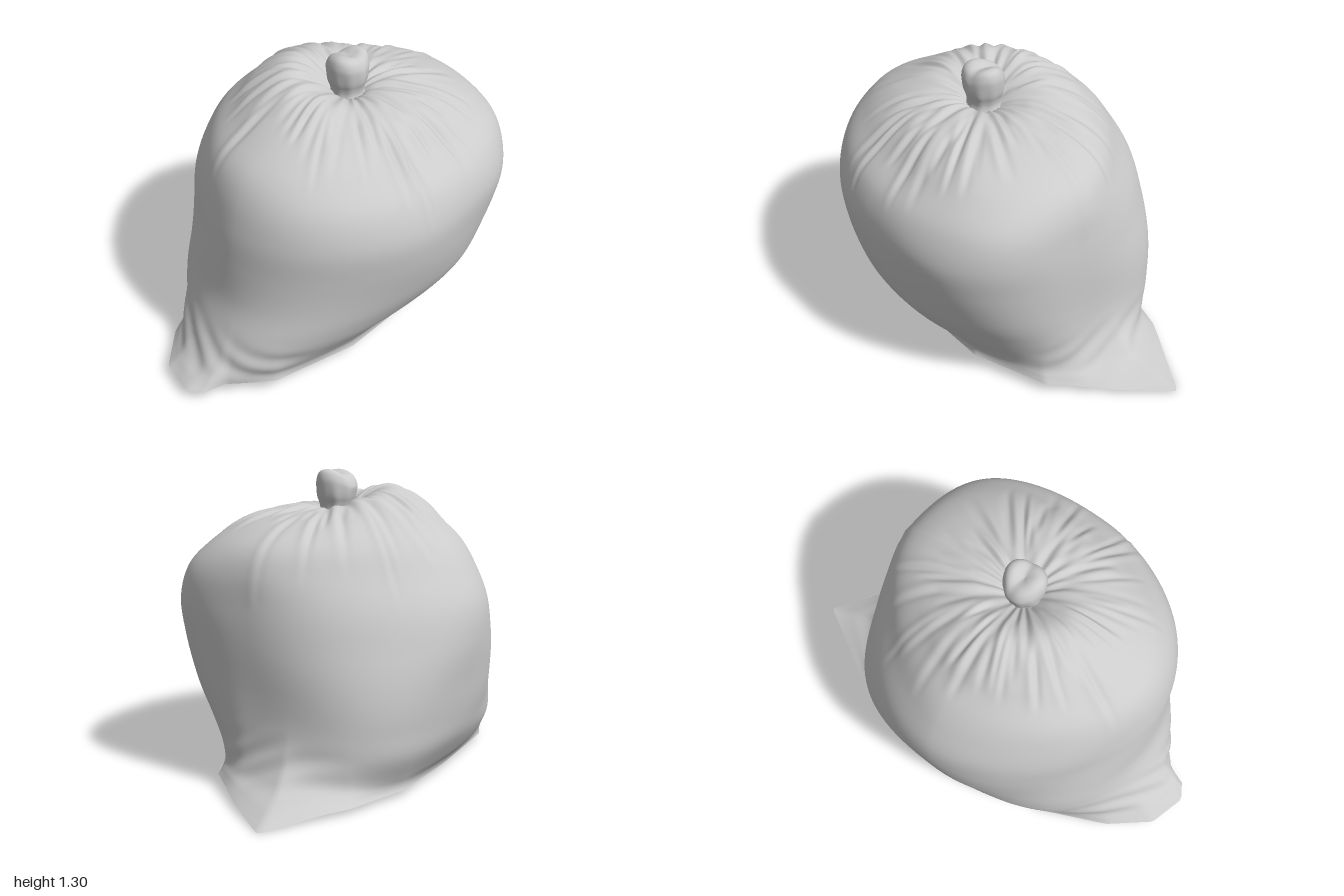
import * as THREE from 'three';

const SEG = 320, SUB = 7;
const CX = -0.01, CZ = 0.05; // axis of the tied neck
const { lerp, smoothstep } = THREE.MathUtils;

function seeded(seed) {
  return () => {
    seed = (seed * 16807) % 2147483647;
    return seed / 2147483647;
  };
}

// Flat seam outline on the ground, with a pulled-out corner at each end [x, z]
const SEAM = [
  [1.0, -0.24], [0.83, 0.0], [0.65, 0.22], [0.33, 0.37], [0, 0.39], [-0.35, 0.38], [-0.72, 0.26],
  [-0.88, 0.09], [-0.95, 0.08], [-1.0, 0.0], [-0.95, -0.17], [-0.78, -0.31], [-0.5, -0.44],
  [0, -0.5], [0.35, -0.51], [0.65, -0.43],
].map(([x, z]) => [x - CX, z - CZ]);

// Levels: y, right x, left x, front z, back z, seam weight,
// then squareness of the four quarters: +x+z, -x+z, -x-z, +x-z
const LEVELS = [
  [0.05, 0.66, -0.86, 0.39, -0.5, 1, 1.9, 2, 2.1, 2.7],
  [0.075, 0.66, -0.855, 0.405, -0.53, 0.7, 1.9, 2, 2.1, 2.8],
  [0.115, 0.66, -0.845, 0.44, -0.56, 0.33, 1.9, 2, 2.1, 3],
  [0.2, 0.66, -0.815, 0.505, -0.6, 0.1, 2, 2, 2.1, 3.2],
  [0.3, 0.66, -0.785, 0.555, -0.618, 0.02, 2.15, 2, 2.05, 3.1],
  [0.42, 0.66, -0.752, 0.6, -0.637, 0, 2.35, 2, 1.95, 2.8],
  [0.6, 0.66, -0.728, 0.643, -0.658, 0, 2.6, 2, 1.8, 2.2],
  [0.76, 0.655, -0.712, 0.657, -0.643, 0, 2.8, 2, 1.75, 1.85],
  [0.9, 0.64, -0.68, 0.61, -0.575, 0, 2.7, 2, 1.75, 1.6],
  [1.0, 0.59, -0.62, 0.508, -0.5, 0, 2.5, 2, 1.8, 1.6],
  [1.07, 0.49, -0.52, 0.43, -0.415, 0, 2.2, 2, 1.8, 1.7],
  [1.115, 0.36, -0.4, 0.35, -0.34, 0, 2, 2, 1.9, 1.8],
  [1.14, 0.21, -0.25, 0.23, -0.2, 0, 2, 2, 2, 2],
  [1.13, 0.12, -0.14, 0.15, -0.08, 0, 2, 2, 2, 2],
  [1.1, 0.05, -0.07, 0.11, -0.01, 0, 2, 2, 2, 2],
];

function levelAt(t) {
  const i = Math.min(Math.floor(t), LEVELS.length - 2), f = t - i;
  const at = (k) => LEVELS[Math.max(0, Math.min(LEVELS.length - 1, k))];
  return LEVELS[0].map((_, c) => {
    const [a, b, d, e] = [at(i - 1)[c], at(i)[c], at(i + 1)[c], at(i + 2)[c]];
    return b + 0.5 * f * (d - a + f * (2 * a - 5 * b + 4 * d - e + f * (3 * (b - d) + e - a)));
  });
}

function seamRadius(th) {
  const dx = Math.cos(th), dz = Math.sin(th);
  for (let i = 0; i < SEAM.length; i++) {
    const p = SEAM[i], q = SEAM[(i + 1) % SEAM.length];
    if (p[0] * dz - p[1] * dx >= 0 && dx * q[1] - dz * q[0] > 0) {
      const ex = q[0] - p[0], ez = q[1] - p[1];
      return (p[0] * ez - p[1] * ex) / (dx * ez - dz * ex);
    }
  }
  return 0.5;
}

function bagPoint(th, t) {
  const [y, xr, xl, zf, zb, seam, ...square] = levelAt(t);
  const c = Math.cos(th), s = Math.sin(th);
  const a = c > 0 ? xr - CX : CX - xl;
  const b = s > 0 ? zf - CZ : CZ - zb;
  const n = square[Math.floor(th / (Math.PI / 2)) % 4];
  const body = Math.pow(Math.pow(Math.abs(c) / a, n) + Math.pow(Math.abs(s) / b, n), -1 / n);
  const r = lerp(body, seamRadius(th), THREE.MathUtils.clamp(seam, 0, 1));
  const x = CX + c * r, z = CZ + s * r;
  // slightly tilted footing with a drooping right tip, and a hump behind the knot
  const tilt = (1 - smoothstep(y, 0.05, 0.4))
    * ((z > 0 ? 0.07 : 0.025) * z - 0.02 * Math.max(x, 0) - 0.02 * smoothstep(x, 0.7, 1));
  const hump = 0.085 * Math.max(0, (0.2 + Math.cos(th + 2.2)) / 1.2)
    * Math.exp(-(((r - 0.25) / 0.16) ** 2)) * smoothstep(y, 0.95, 1.1);
  return [x, y + tilt + hump, z];
}

function gridGeometry(rows, point) {
  const pos = [], idx = [];
  for (let j = 0; j <= rows; j++)
    for (let i = 0; i < SEG; i++) pos.push(...point((i / SEG) * Math.PI * 2, j / rows));
  for (let j = 0; j < rows; j++)
    for (let i = 0; i < SEG; i++) {
      const k = (i + 1) % SEG, a = j * SEG + i, b = j * SEG + k;
      idx.push(a, a + SEG, b, b, a + SEG, b + SEG);
    }
  const g = new THREE.BufferGeometry();
  g.setAttribute('position', new THREE.Float32BufferAttribute(pos, 3));
  g.setIndex(idx);
  g.computeVertexNormals();
  return g;
}

// Push the skin along its normals to form gathers, dents and slack
function wrinkle(g) {
  const rnd = seeded(71);
  const folds = Array.from({ length: 52 }, (_, i) => {
    const start = 0.08 + rnd() * 0.2;
    return {
      th: ((i + rnd() * 0.8) / 52) * Math.PI * 2 - Math.PI, start,
      end: start + 0.12 + rnd() * 0.32, depth: 0.005 + rnd() * 0.008,
      width: 0.011 + rnd() * 0.009, bend: (rnd() - 0.5) * 0.5,
    };
  });
  const p = g.attributes.position, nor = g.attributes.normal;
  for (let i = 0; i < p.count; i++) {
    const x = p.getX(i), y = p.getY(i), z = p.getZ(i);
    const r = Math.hypot(x - CX, z - CZ), th = Math.atan2(z - CZ, x - CX);
    let d = 0;
    if (y > 0.8) {
      for (const f of folds) {
        if (r < f.start || r > f.end) continue;
        let dt = th - f.th - f.bend * (r - f.start);
        dt = Math.atan2(Math.sin(dt), Math.cos(dt));
        const u = (dt * r) / f.width;
        if (Math.abs(u) > 5) continue;
        const along = Math.sin((Math.PI * (r - f.start)) / (f.end - f.start));
        d += f.depth * along * (0.7 * Math.exp(-((u - 1.5) ** 2) / 2) - Math.exp(-u * u));
      }
      d += 0.005 * Math.sin(th * 17 + 2 * Math.sin(th * 3)) * Math.exp(-(((r - 0.17) / 0.1) ** 2));
    }
    const mid = smoothstep(y, 0.08, 0.3);
    d += mid * smoothstep(r, 0.2, 0.5) * 0.005
      * (Math.sin(7 * x + 3 * y) * Math.sin(6 * z - 5 * y + 1) + 0.5 * Math.sin(13 * y + 9 * x - 7 * z));
    // slack creases over the two pulled-out corners
    const corner = smoothstep(Math.abs(x), 0.55, 0.75) * Math.exp(-(((y - 0.16) / 0.08) ** 2));
    d += corner * 0.006 * Math.sin(55 * y + 9 * z + 4 * Math.sin(6 * z));
    p.setXYZ(i, x + nor.getX(i) * d, y + nor.getY(i) * d, z + nor.getZ(i) * d);
  }
  g.computeVertexNormals();
  return g;
}

function knotGeometry() {
  const profile = [[0.085, 1.08], [0.072, 1.12], [0.075, 1.15], [0.085, 1.18], [0.09, 1.22],
    [0.089, 1.25], [0.075, 1.28], [0.045, 1.293], [0.001, 1.285]];
  const curve = new THREE.SplineCurve(profile.map((q) => new THREE.Vector2(...q)));
  const g = new THREE.LatheGeometry(curve.getPoints(32), 64);
  const p = g.attributes.position;
  for (let i = 0; i < p.count; i++) {
    const x = p.getX(i), y = p.getY(i), z = p.getZ(i), th = Math.atan2(z, x);
    const up = smoothstep(y, 1.17, 1.28), r = Math.hypot(x, z);
    const k = 1 + 0.05 * up * Math.sin(3 * th + 0.6) + 0.02 * (1 - up) * Math.sin(9 * th);
    const lump = up * (r / 0.09) * (0.01 * Math.cos(2 * th) + 0.012 * Math.sin(th + 0.4));
    const notch = -0.01 * up * Math.exp(-(((x - 0.015) / 0.025) ** 2));
    p.setXYZ(i, CX + x * k, y + lump + notch, CZ + z * k);
  }
  g.computeVertexNormals();
  return g;
}

export function createModel() {
  const group = new THREE.Group();
  group.name = 'tiedBag';
  const mat = new THREE.MeshStandardMaterial({ color: 0xcccccc, side: THREE.DoubleSide });
  const add = (name, g) => {
    const m = new THREE.Mesh(g, mat);
    m.name = name;
    group.add(m);
  };

  const top = LEVELS.length - 1;
  add('bagBody', wrinkle(gridGeometry(top * SUB, (th, v) => bagPoint(th, v * top))));

  // underside runs from the centre out to the seam
  add('underside', gridGeometry(12, (th, v) => {
    const [x, y, z] = bagPoint(th, 0);
    const k = Math.max(v, 0.001);
    const sag = 0.004 * Math.sin(9 * x * k) * Math.sin(8 * z * k) * (1 - k);
    return [lerp(CX, x, k), lerp(0.04, y, k) + sag, lerp(CZ, z, k)];
  }));

  add('knot', knotGeometry());
  return group;
}
